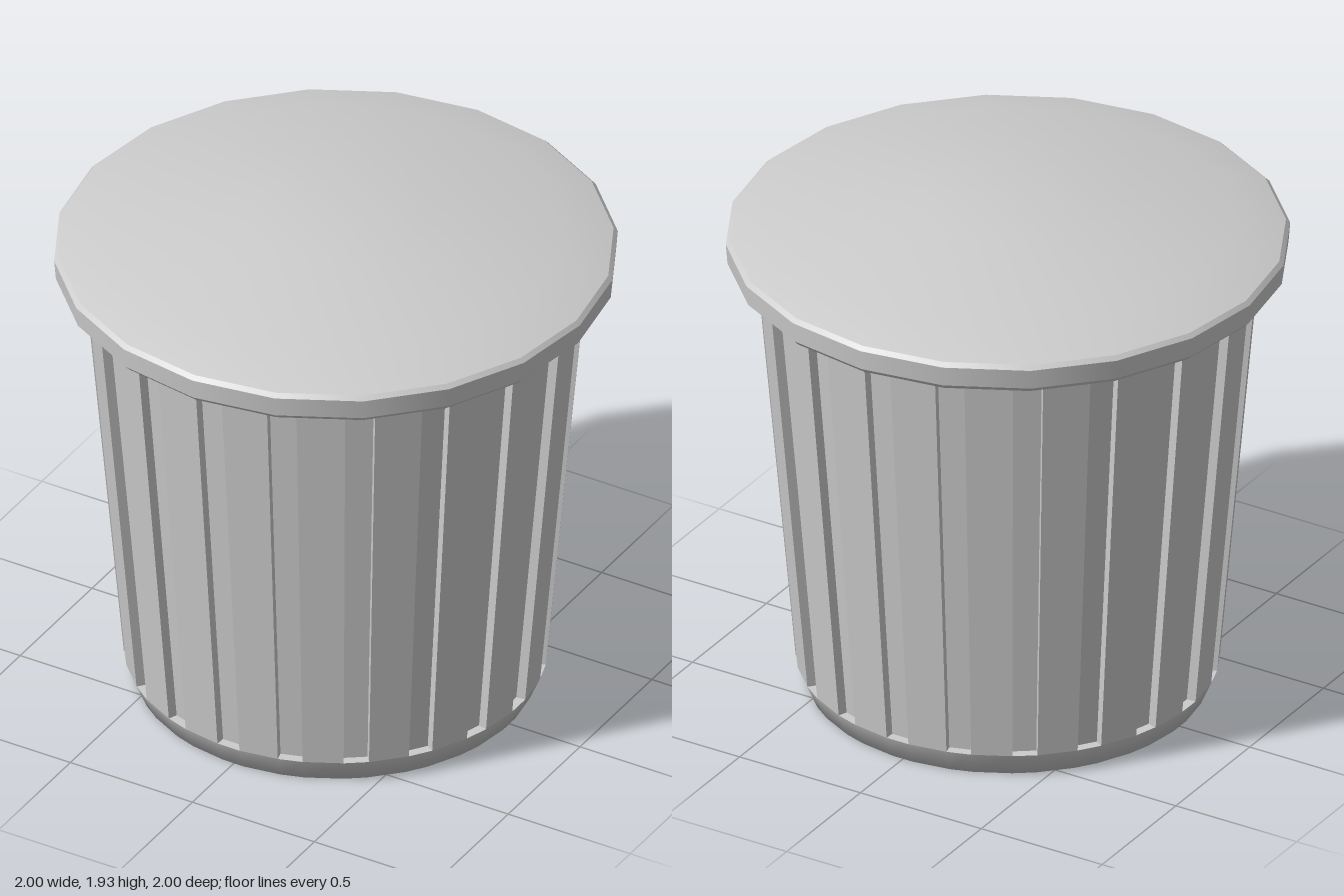
import * as THREE from 'three';

const SIDES = 20, HALF = 0.06; // ribs around the bin, half angle of one groove
const BASE_Y = 0.09, TOP_Y = 1.7;
const BASE_R = 0.75, TOP_R = 0.892, DEPTH = 0.035;

const at = (a, r, y) => [Math.sin(a) * r, y, Math.cos(a) * r];
const grooveAngle = (k) => (k * 2 * Math.PI) / SIDES;

function makeMesh(name, geometry, flat) {
  const mesh = new THREE.Mesh(geometry, new THREE.MeshStandardMaterial({
    color: 0xcccccc, flatShading: flat, side: THREE.DoubleSide,
  }));
  mesh.name = name;
  return mesh;
}

function build(positions, index) {
  const g = new THREE.BufferGeometry();
  g.setAttribute('position', new THREE.Float32BufferAttribute(positions.flat(), 3));
  g.setIndex(index);
  g.computeVertexNormals();
  return g;
}

// join equal closed rings, bottom to top
function bridge(index, n, rings) {
  for (let r = 0; r < rings - 1; r++) {
    for (let i = 0; i < n; i++) {
      const a = r * n + i, b = r * n + ((i + 1) % n);
      index.push(a, b, b + n, a, b + n, a + n);
    }
  }
}

// tapered wall with a recessed groove at every corner
function grooveWall() {
  const pts = [], index = [];
  for (const [y, r] of [[BASE_Y, BASE_R], [TOP_Y, TOP_R]]) {
    for (let k = 0; k < SIDES; k++) {
      const a = grooveAngle(k);
      pts.push(at(a - HALF, r, y), at(a - HALF, r - DEPTH, y),
        at(a + HALF, r - DEPTH, y), at(a + HALF, r, y));
    }
  }
  bridge(index, SIDES * 4, 2);
  // ledge closing the foot of each groove
  for (let k = 0; k < SIDES; k++) {
    const i = k * 4;
    index.push(i, i + 3, i + 2, i, i + 2, i + 1);
  }
  return build(pts, index);
}

// smooth bevelled foot with a closed bottom
function foot() {
  const pts = [], index = [], n = SIDES * 2;
  for (const [y, r] of [[0, 0.712], [BASE_Y, BASE_R]]) {
    for (let k = 0; k < SIDES; k++) {
      const a = grooveAngle(k);
      pts.push(at(a - HALF, r, y), at(a + HALF, r, y));
    }
  }
  bridge(index, n, 2);
  pts.push([0, 0, 0]);
  for (let i = 0; i < n; i++) index.push(2 * n, (i + 1) % n, i);
  return build(pts, index);
}

const turned = (profile) =>
  new THREE.LatheGeometry(profile.map(([r, y]) => new THREE.Vector2(r, y)), SIDES);

export function createModel() {
  const group = new THREE.Group();
  group.name = 'bin';

  group.add(makeMesh('wall', grooveWall(), true));
  group.add(makeMesh('foot', foot(), false));

  // lid: shallow dome, rim band and underside
  const lid = new THREE.Group();
  lid.name = 'lid';
  lid.add(makeMesh('lidUnderside', turned([[0, 1.69], [0.975, 1.69]]), false));
  lid.add(makeMesh('lidLip', turned([[0.975, 1.69], [0.994, 1.71]]), false));
  lid.add(makeMesh('lidRim', turned([[0.994, 1.71], [1, 1.785]]), false));
  lid.add(makeMesh('lidEdge', turned([[1, 1.785], [0.985, 1.8]]), false));
  lid.add(makeMesh('lidDome',
    turned([[0.985, 1.8], [0.81, 1.848], [0.31, 1.93], [0, 1.93]]), false));
  group.add(lid);
  return group;
}
